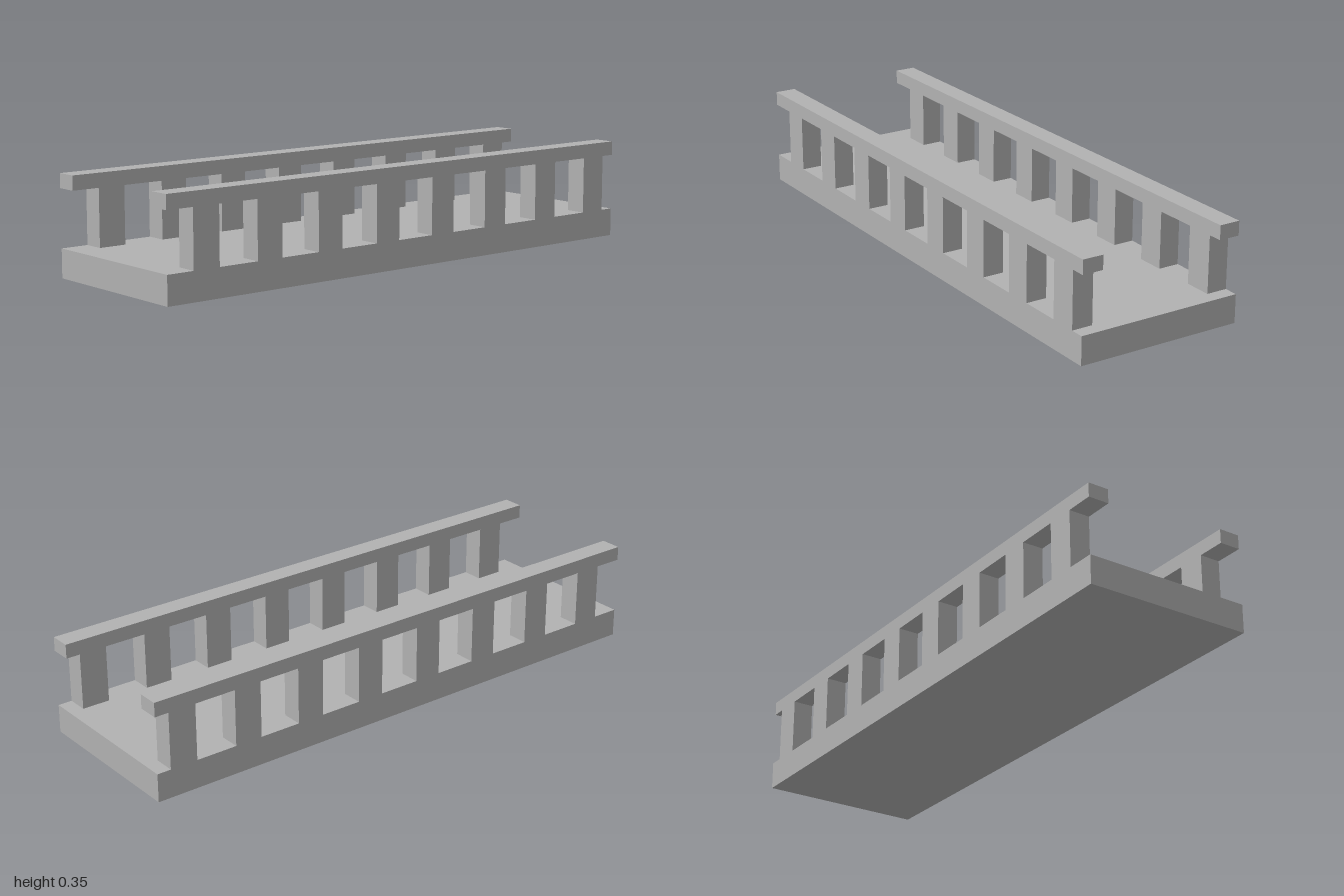
import * as THREE from 'three';

export function createModel() {
  const model = new THREE.Group();
  model.name = 'footbridge';

  const stone = new THREE.MeshStandardMaterial({ color: 0xb2b2b2 });
  stone.name = 'stone grey';

  const addBox = (parent, name, size, position) => {
    const mesh = new THREE.Mesh(new THREE.BoxGeometry(...size), stone);
    mesh.name = name;
    mesh.position.set(...position);
    parent.add(mesh);
  };

  // Deck slab
  addBox(model, 'deck', [0.6, 0.1, 2], [0, 0.05, 0]);

  // A railing along each side: evenly spaced posts under a handrail
  const railWidth = 0.075;
  const postCount = 8;
  for (const side of [1, -1]) {
    const railing = new THREE.Group();
    railing.name = side > 0 ? 'leftRailing' : 'rightRailing';
    railing.position.x = side * (0.3 - railWidth / 2);
    addBox(railing, 'handrail', [railWidth, 0.05, 2], [0, 0.325, 0]);
    for (let i = 0; i < postCount; i++) {
      addBox(railing, 'post', [railWidth, 0.2, 0.1], [0, 0.2, 0.85 - i * 0.25]);
    }
    model.add(railing);
  }

  return model;
}
